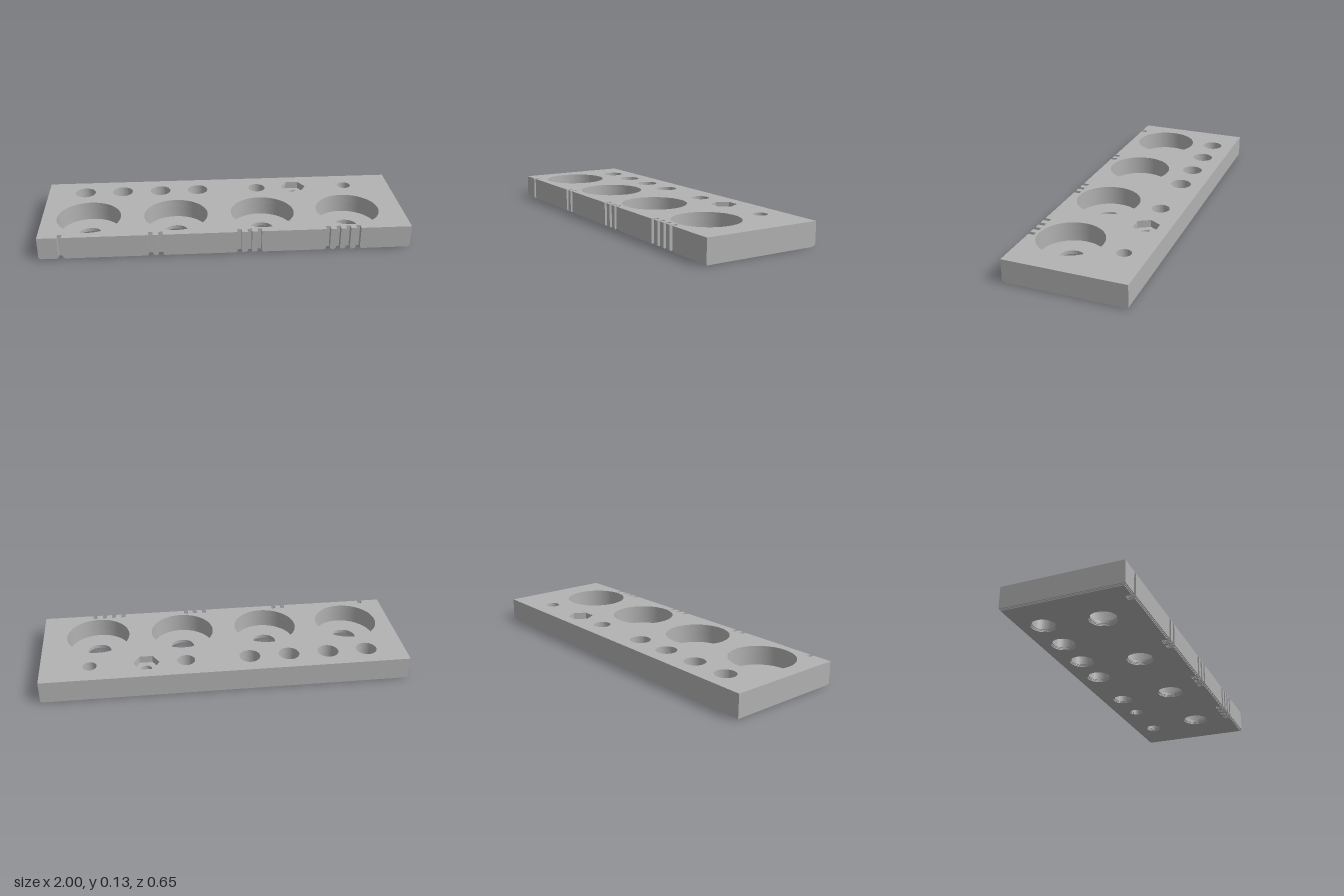
import * as THREE from 'three';
import { toCreasedNormals } from 'three/addons/utils/BufferGeometryUtils.js';

const HALF_X = 1, HALF_Z = 0.325;
const NOTCHES = [-0.883, -0.404, -0.351, 0.07, 0.125, 0.178, 0.549, 0.604, 0.658, 0.713];
const POCKETS = [-0.743, -0.265, 0.214, 0.692];
const POCKET_Z = 0.104, ROW_Z = -0.198, HEX_X = 0.431;
// Back row of plain through holes: x, radius
const HOLES = [[-0.786, 0.057], [-0.57, 0.057], [-0.351, 0.057], [-0.134, 0.057], [0.214, 0.048], [0.735, 0.038]];

// Slab outline with the front notches, pulled in by e (shape y is -z)
function outline(e) {
  const front = -HALF_Z + e, x = HALF_X - e;
  const s = new THREE.Shape();
  s.moveTo(-x, front);
  for (const c of NOTCHES) {
    const w = 0.0115 + e, deep = -HALF_Z + 0.032 + e;
    s.lineTo(c - w, front);
    s.lineTo(c - w, deep);
    s.lineTo(c + w, deep);
    s.lineTo(c + w, front);
  }
  s.lineTo(x, front);
  s.lineTo(x, HALF_Z - e);
  s.lineTo(-x, HALF_Z - e);
  s.closePath();
  return s;
}

function circle(x, z, r) {
  return new THREE.Path().absarc(x, -z, r, 0, Math.PI * 2, true);
}

function hexagon(x, z, r) {
  const pts = [];
  for (let i = 0; i < 6; i++) {
    const a = -i * Math.PI / 3;
    pts.push(new THREE.Vector2(x + r * Math.cos(a), -z + r * Math.sin(a)));
  }
  const p = new THREE.Path(pts);
  p.closePath();
  return p;
}

export function createModel() {
  const group = new THREE.Group();
  const grey = new THREE.MeshStandardMaterial({ color: 0xb2b2b2 });
  grey.name = 'grey';

  // One horizontal slice of the plate, from y0 to y1
  function layer(name, y0, y1, inset, pocketRadius, hexPocket) {
    const s = outline(inset);
    for (const x of POCKETS) s.holes.push(circle(x, POCKET_Z, pocketRadius + inset));
    for (const [x, r] of HOLES) s.holes.push(circle(x, ROW_Z, r + inset));
    s.holes.push(hexPocket ? hexagon(HEX_X, ROW_Z, 0.071) : circle(HEX_X, ROW_Z, 0.03 + inset));
    const g = new THREE.ExtrudeGeometry(s, { depth: y1 - y0, bevelEnabled: false, curveSegments: 32 });
    g.rotateX(-Math.PI / 2);
    g.translate(0, y0, 0);
    const mesh = new THREE.Mesh(toCreasedNormals(g, 0.5), grey);
    mesh.name = name;
    group.add(mesh);
  }

  // Stepped underside, pocket floors, bored body, hexagonal recess at the top
  layer('lowerFootStep', 0, 0.005, 0.008, 0.066, false);
  layer('upperFootStep', 0.005, 0.01, 0.004, 0.066, false);
  layer('pocketFloor', 0.01, 0.025, 0, 0.066, false);
  layer('pocketBody', 0.025, 0.09, 0, 0.175, false);
  layer('hexRecessTop', 0.09, 0.13, 0, 0.175, true);
  return group;
}
